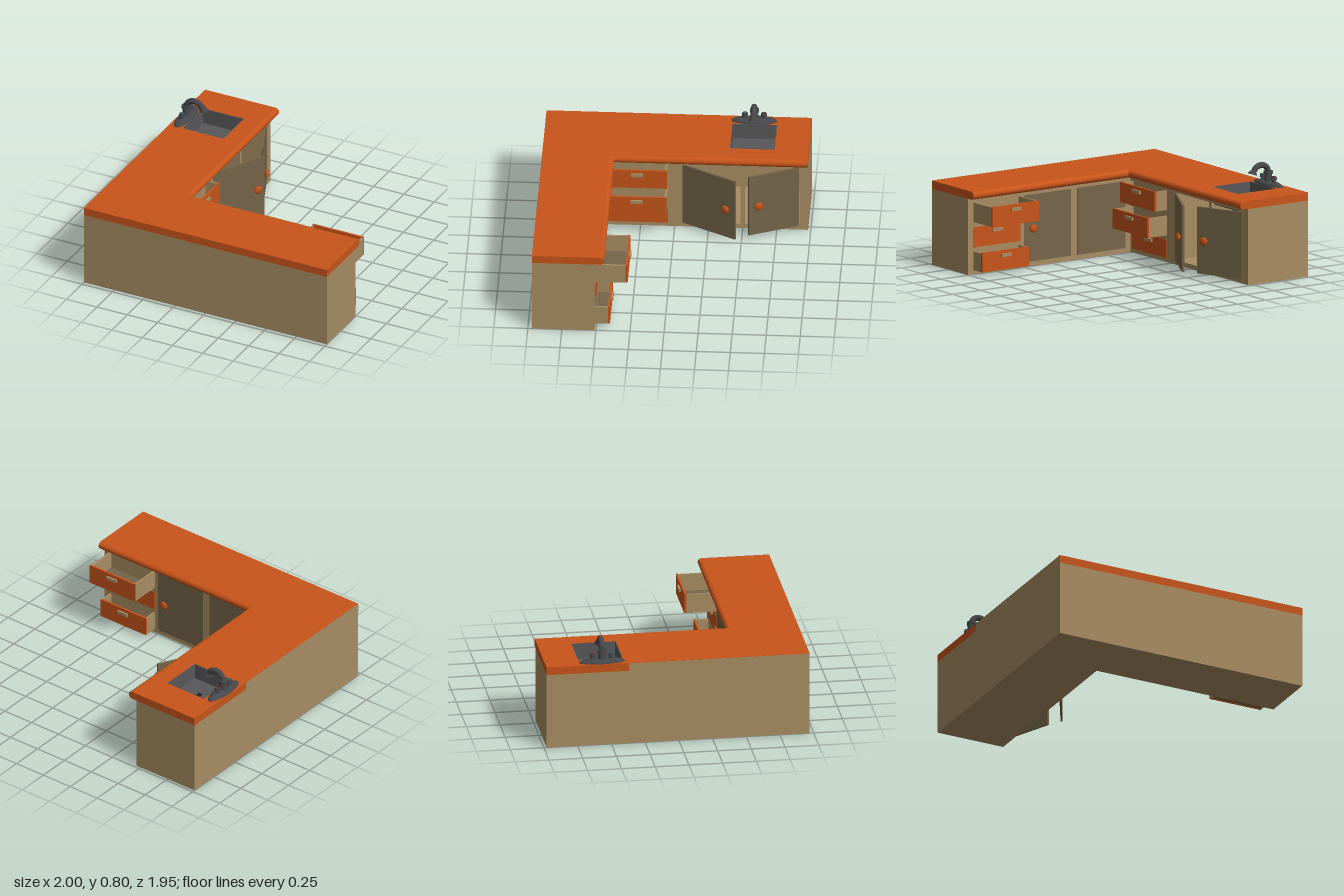
import * as THREE from 'three';

const mat = (color, side = THREE.FrontSide) => new THREE.MeshStandardMaterial({ color, side });
const TAN = mat(0xa88c62), DARK = mat(0x756549), ORANGE = mat(0xc8541a, THREE.DoubleSide);
const SINK = mat(0x58585a), METAL = mat(0x46474a), HOLE = mat(0x222224);
const RED = mat(0x7a2a24), TEAL = mat(0x2a6a70);

function add(parent, name, geo, material, x = 0, y = 0, z = 0) {
  const m = new THREE.Mesh(geo, material);
  m.name = name;
  m.position.set(x, y, z);
  parent.add(m);
  return m;
}

// Box given by its two corners
function box(parent, name, material, x0, x1, y0, y1, z0, z1) {
  return add(parent, name, new THREE.BoxGeometry(x1 - x0, y1 - y0, z1 - z0), material,
    (x0 + x1) / 2, (y0 + y1) / 2, (z0 + z1) / 2);
}

// Drawer facing local +z, pulled out of the cabinet face by "out"
function drawer(parent, x, z, angle, w, y0, y1, out) {
  const g = new THREE.Group();
  g.name = 'drawer';
  g.position.set(x, 0, z);
  g.rotation.y = angle;
  parent.add(g);
  const h = w / 2;
  box(g, 'drawerFront', ORANGE, -h, h, y0, y1, out - 0.015, out);
  box(g, 'drawerHandle', TAN, -0.045, 0.045, y1 - 0.048, y1 - 0.024, out, out + 0.016);
  if (out > 0.05) {
    for (const s of [-1, 1]) {
      const a = s * h, b = s * (h - 0.015);
      box(g, 'drawerSide', TAN, Math.min(a, b), Math.max(a, b), y0, y1 - 0.004, -0.01, out - 0.015);
    }
    box(g, 'drawerBottom', DARK, -h + 0.01, h - 0.01, y0 + 0.002, y0 + 0.015, -0.01, out - 0.015);
  }
}

// Door hinged at its origin, facing local +z, extending along local x by s * w
function door(parent, x, z, angle, w, s) {
  const g = new THREE.Group();
  g.name = 'door';
  g.position.set(x, 0, z);
  g.rotation.y = angle;
  parent.add(g);
  box(g, 'doorPanel', DARK, Math.min(0, s * w), Math.max(0, s * w), 0.035, 0.535, -0.012, 0.004);
  const profile = [[0.012, 0], [0.012, 0.012], [0.032, 0.016], [0.032, 0.026], [0.02, 0.034], [0, 0.036]];
  const knob = add(g, 'doorKnob', new THREE.LatheGeometry(profile.map(p => new THREE.Vector2(...p)), 12),
    ORANGE, s * (w - 0.07), 0.285, 0.004);
  knob.rotation.x = Math.PI / 2;
}

// Rounded inner edge of the worktop, mitred at the corner
function bullnose() {
  const n = 12, r = 0.03, pos = [], idx = [];
  for (let i = 0; i <= n; i++) {
    const t = -Math.PI / 2 + Math.PI * i / n, d = r * Math.cos(t), y = 0.6 + r * Math.sin(t);
    const x = -0.42 + d, z = 0.47 - d;
    // the corner is doubled so that the mitre stays sharp
    pos.push(x, y, -0.98, x, y, z, x, y, z, 1, y, z);
    if (i < n) for (const k of [0, 2]) {
      const a = i * 4 + k, b = a + 4;
      idx.push(a, b, a + 1, a + 1, b, b + 1);
    }
  }
  const g = new THREE.BufferGeometry();
  g.setAttribute('position', new THREE.Float32BufferAttribute(pos, 3));
  g.setIndex(idx);
  g.computeVertexNormals();
  return g;
}

function worktop(parent) {
  const outline = [[-1, -0.98], [-0.42, -0.98], [-0.42, 0.47], [1, 0.47], [1, 0.97], [-1, 0.97]];
  const shape = new THREE.Shape(outline.map(p => new THREE.Vector2(...p)));
  const hole = [[-0.89, -0.73], [-0.89, -0.4], [-0.55, -0.4], [-0.55, -0.73]];
  shape.holes.push(new THREE.Path(hole.map(p => new THREE.Vector2(...p))));
  const geo = new THREE.ExtrudeGeometry(shape, { depth: 0.06, bevelEnabled: false });
  geo.rotateX(Math.PI / 2);
  add(parent, 'worktop', geo, ORANGE, 0, 0.63, 0);
  add(parent, 'worktopEdge', bullnose(), ORANGE);
  // half-round end caps
  const cap = new THREE.CircleGeometry(0.03, 24, -Math.PI / 2, Math.PI);
  add(parent, 'edgeCap', cap, ORANGE, -0.42, 0.6, -0.98);
  add(parent, 'edgeCap', cap, ORANGE, 1, 0.6, 0.47).rotation.y = Math.PI / 2;
  // side panel that rises over the worktop's outer edge
  box(parent, 'sidePanel', TAN, -1.001, -0.999, 0.565, 0.628, -0.37, 0.97);
}

function cabinets(parent) {
  box(parent, 'longCabinet', TAN, -1, 1, 0, 0.57, 0.51, 0.97);
  box(parent, 'drawerCabinet', TAN, -1, -0.46, 0, 0.57, -0.06, 0.51);
  // hollow cabinet under the sink
  box(parent, 'cabinetFloor', TAN, -1, -0.46, 0, 0.035, -0.98, -0.06);
  box(parent, 'cabinetBack', TAN, -1, -0.97, 0.035, 0.57, -0.98, -0.06);
  box(parent, 'cabinetEnd', TAN, -0.97, -0.46, 0.035, 0.57, -0.98, -0.915);
  box(parent, 'topRail', TAN, -0.49, -0.46, 0.54, 0.57, -0.915, -0.06);
  box(parent, 'centrePost', TAN, -0.49, -0.46, 0.035, 0.54, -0.515, -0.485);

  const q = Math.PI / 2;
  drawer(parent, -0.46, 0.27, q, 0.44, 0.39, 0.54, 0.11);
  drawer(parent, -0.46, 0.27, q, 0.44, 0.2, 0.35, 0.175);
  drawer(parent, -0.46, 0.27, q, 0.44, 0.03, 0.17, 0.004);
  drawer(parent, 0.74, 0.51, 2 * q, 0.42, 0.39, 0.54, 0.24);
  drawer(parent, 0.74, 0.51, 2 * q, 0.42, 0.2, 0.35, 0.004);
  drawer(parent, 0.74, 0.51, 2 * q, 0.42, 0.03, 0.175, 0.11);

  // open doors under the sink, closed doors on the long run
  door(parent, -0.46, -0.06, q - 0.5, 0.45, 1);
  door(parent, -0.46, -0.91, q + 0.4, 0.39, -1);
  door(parent, 0.08, 0.51, 2 * q, 0.42, -1);
  door(parent, 0.02, 0.51, 2 * q, 0.43, 1);
}

function sink(parent) {
  const g = new THREE.Group();
  g.name = 'sink';
  parent.add(g);
  const y0 = 0.5, y1 = 0.629, t = 0.006;
  box(g, 'basinFloor', SINK, -0.89, -0.55, y0, y0 + 0.01, -0.73, -0.4);
  box(g, 'basinWall', SINK, -0.89, -0.89 + t, y0, y1, -0.73, -0.4);
  box(g, 'basinWall', SINK, -0.55 - t, -0.55, y0, y1, -0.73, -0.4);
  box(g, 'basinWall', SINK, -0.89, -0.55, y0, y1, -0.73, -0.73 + t);
  box(g, 'basinWall', SINK, -0.89, -0.55, y0, y1, -0.4 - t, -0.4);
  add(g, 'drain', new THREE.CylinderGeometry(0.02, 0.02, 0.004, 20), HOLE, -0.72, 0.512, -0.565);
}

function faucet(parent) {
  const g = new THREE.Group();
  g.name = 'faucet';
  g.position.set(-0.94, 0.63, -0.56);
  parent.add(g);
  const dome = new THREE.SphereGeometry(1, 32, 8, 0, Math.PI * 2, 0, Math.PI / 2);
  add(g, 'faucetBase', dome, METAL).scale.set(0.055, 0.03, 0.17);
  add(g, 'faucetColumn', new THREE.CylinderGeometry(0.025, 0.032, 0.07, 20), METAL, 0, 0.05, 0);
  add(g, 'faucetCollar', new THREE.CylinderGeometry(0.034, 0.034, 0.02, 20), METAL, 0, 0.09, 0);
  const path = [[0, 0.08], [0.008, 0.115], [0.035, 0.143], [0.075, 0.15], [0.112, 0.135], [0.135, 0.105]];
  const curve = new THREE.CatmullRomCurve3(path.map(p => new THREE.Vector3(p[0], p[1], 0)));
  add(g, 'faucetSpout', new THREE.TubeGeometry(curve, 28, 0.022, 16), METAL);
  const head = add(g, 'faucetHead', new THREE.CylinderGeometry(0.024, 0.035, 0.025, 20), METAL, 0.14, 0.1, 0);
  head.rotation.z = 0.35;
  for (const s of [-1, 1]) {
    add(g, 'tapStem', new THREE.CylinderGeometry(0.014, 0.018, 0.035, 16), METAL, 0, 0.03, s * 0.07);
    add(g, 'tapHandle', new THREE.CylinderGeometry(0.02, 0.024, 0.024, 8), METAL, 0, 0.055, s * 0.07);
    add(g, 'tapMarker', new THREE.CylinderGeometry(0.012, 0.012, 0.004, 12), s < 0 ? RED : TEAL, 0, 0.068, s * 0.07);
  }
}

export function createModel() {
  const model = new THREE.Group();
  model.name = 'kitchenCounter';
  cabinets(model);
  worktop(model);
  sink(model);
  faucet(model);
  return model;
}
